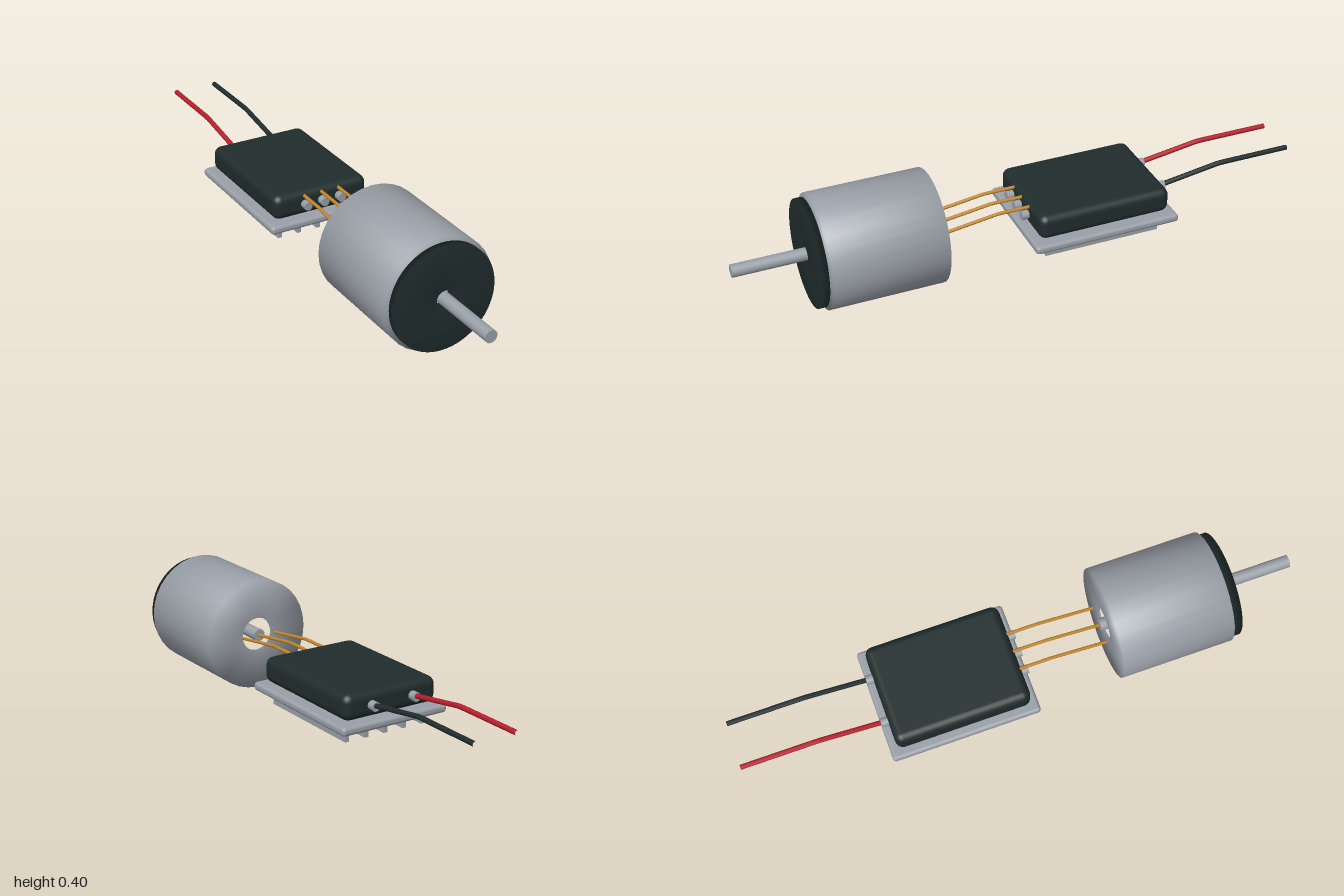
import * as THREE from 'three';
import { RoundedBoxGeometry } from 'three/addons/geometries/RoundedBoxGeometry.js';

export function createModel() {
  const group = new THREE.Group();
  const mat = (name, color) => {
    const m = new THREE.MeshStandardMaterial({ color });
    m.name = name;
    return m;
  };
  const metal = mat('metal grey', 0x9aa0a8);
  const dark = mat('dark plastic', 0x202c2c);
  const copper = mat('copper wire', 0xc4862a);
  const red = mat('red wire', 0xb81e2c);

  const add = (name, geometry, material, x = 0, y = 0, z = 0) => {
    const mesh = new THREE.Mesh(geometry, material);
    mesh.name = name;
    mesh.position.set(x, y, z);
    group.add(mesh);
    return mesh;
  };
  // Revolve a [radius, z] profile around the z axis
  const lathe = (profile, sides) =>
    new THREE.LatheGeometry(profile.map(([r, z]) => new THREE.Vector2(r, z)), sides).rotateX(Math.PI / 2);
  // Cylinder along z between two z positions
  const rod = (r, z0, z1, sides) =>
    new THREE.CylinderGeometry(r, r, z1 - z0, sides).rotateX(Math.PI / 2).translate(0, 0, (z0 + z1) / 2);
  // Bent wire through [y, z] points made of straight runs
  const wire = (points, r) => {
    const path = new THREE.CurvePath();
    const p = points.map(([y, z]) => new THREE.Vector3(0, y, z));
    for (let i = 1; i < p.length; i++) path.add(new THREE.LineCurve3(p[i - 1], p[i]));
    return new THREE.TubeGeometry(path, 24, r, 8);
  };

  // Motor: softly shaded hollow can, front cap and shaft
  const axis = 0.2;
  add('motorCan', lathe([[0.06, 0.325], [0.06, 0.316], [0.198, 0.316], [0.198, 0.716], [0.06, 0.716], [0.06, 0.707]], 32),
    metal, 0, axis);
  add('motorCap', lathe([[0.028, 0.725], [0.185, 0.725], [0.185, 0.75], [0.028, 0.75], [0.028, 0.725]], 64),
    dark, 0, axis);
  add('shaft', rod(0.022, 0.3, 1, 20), metal, 0, axis);

  // Speed controller: body, heat sink plate and cooling fins
  add('controllerBody', new RoundedBoxGeometry(0.36, 0.09, 0.48, 3, 0.028), dark, 0, 0.2, -0.25);
  add('heatSinkPlate', new RoundedBoxGeometry(0.41, 0.03, 0.53, 2, 0.012), metal, 0, 0.137, -0.25);
  for (let i = -2; i <= 2; i++) {
    add('coolingFin', new THREE.BoxGeometry(0.015, 0.05, 0.42), metal, i * 0.075, 0.103, -0.247);
  }

  // Motor leads and their sockets
  for (const x of [-0.066, 0, 0.066]) {
    add('frontSocket', rod(0.016, -0.03, 0.015, 12), metal, x, 0.2);
    add('motorLead', wire([[0.228, -0.02], [0.228, 0.1], [0.218, 0.17], [0.2, 0.3]], 0.006), copper, x);
  }

  // Power leads and their sockets
  for (const [x, name, material] of [[-0.08, 'redPowerLead', red], [0.08, 'blackPowerLead', dark]]) {
    add('rearSocket', rod(0.016, -0.515, -0.47, 12), metal, x, 0.2);
    add(name, wire([[0.2, -0.49], [0.237, -0.73], [0.237, -1]], 0.009), material, x);
  }

  return group;
}
